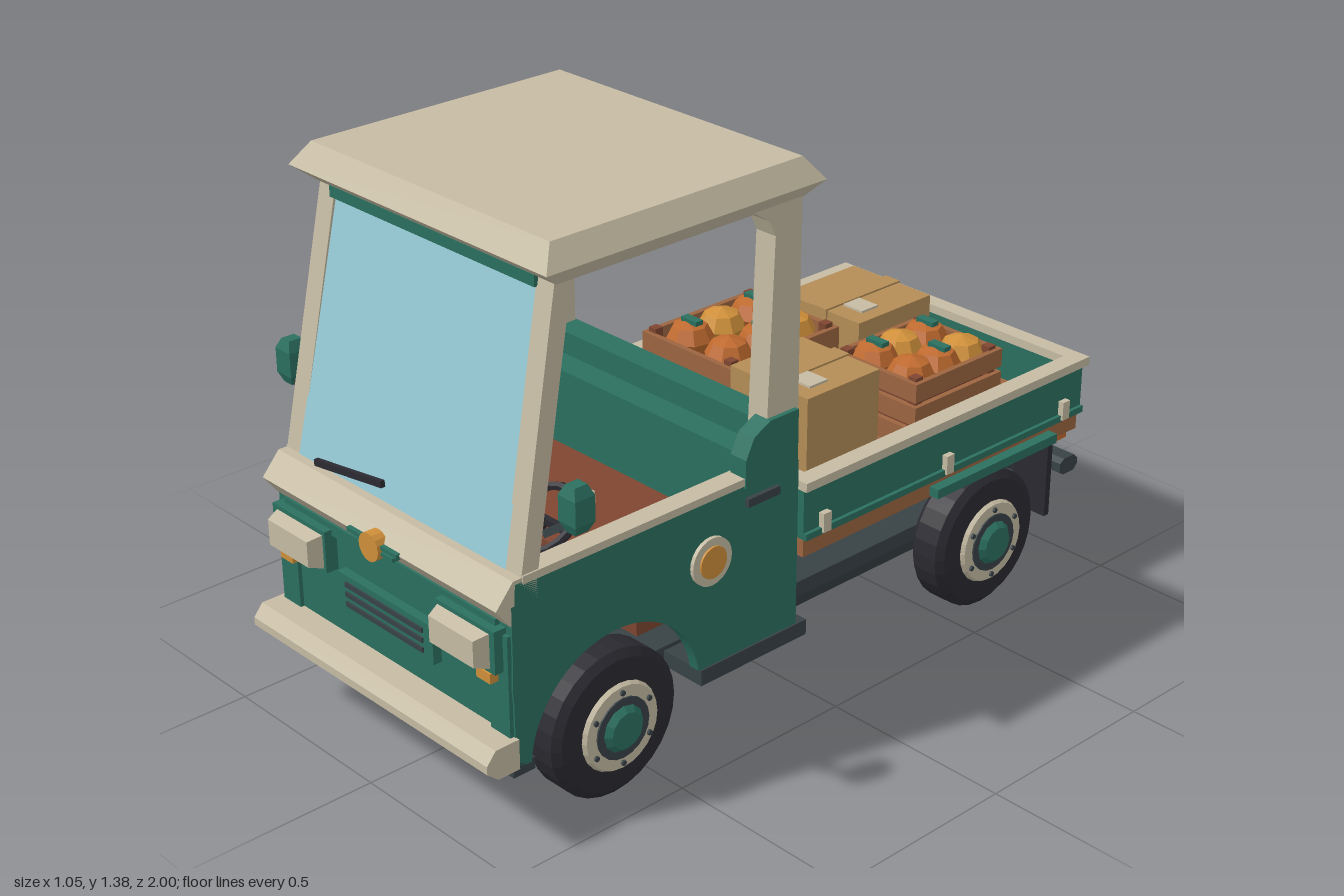
import * as THREE from 'three';

const mat = (name, color) => {
  const m = new THREE.MeshStandardMaterial({ color, flatShading: true });
  m.name = name;
  return m;
};

export function createModel() {
  const green = mat('green paint', 0x2b7060), cream = mat('cream trim', 0xc6bca4);
  const glass = mat('pale blue glass', 0x96cad5), wood = mat('wood', 0x9c6540);
  const card = mat('cardboard', 0xb48d57), amber = mat('amber', 0xd0903a);
  const orange = mat('dark orange', 0xbf6a2e), black = mat('tyre black', 0x2b2a31);
  const grey = mat('charcoal', 0x384246), brown = mat('red brown', 0x7f4632);
  const root = new THREE.Group();
  root.name = 'pickupTruck';

  const add = (name, geo, m, x = 0, y = 0, z = 0, parent = root) => {
    const mesh = new THREE.Mesh(geo, m);
    mesh.name = name;
    mesh.position.set(x, y, z);
    parent.add(mesh);
    return mesh;
  };
  // box given by its limits
  const box = (name, m, x0, x1, y0, y1, z0, z1, parent = root) =>
    add(name, new THREE.BoxGeometry(x1 - x0, y1 - y0, z1 - z0), m, (x0 + x1) / 2, (y0 + y1) / 2, (z0 + z1) / 2, parent);
  // same box on both sides
  const pair = (name, m, x0, x1, ...r) => { box(name, m, x0, x1, ...r); box(name, m, -x1, -x0, ...r); };
  // block whose top has another size than its bottom
  const taper = (w, h, d, tw, td) => {
    const g = new THREE.BoxGeometry(w, h, d), p = g.attributes.position;
    for (let i = 0; i < p.count; i++)
      if (p.getY(i) > 0) { p.setX(i, p.getX(i) * tw / w); p.setZ(i, p.getZ(i) * td / d); }
    return g;
  };
  // (z, y) outline extruded along x
  const sideShape = (name, m, shape, cx, w) => {
    const s = Array.isArray(shape) ? new THREE.Shape(shape.map(p => new THREE.Vector2(...p))) : shape;
    const g = new THREE.ExtrudeGeometry(s, { depth: w, bevelEnabled: false, curveSegments: 20 });
    g.rotateY(-Math.PI / 2).translate(cx + w / 2, 0, 0);
    return add(name, g, m);
  };
  // straight bar between two points
  const bar = (name, m, a, b, w, d) => {
    const A = new THREE.Vector3(...a), B = new THREE.Vector3(...b);
    const mesh = add(name, new THREE.BoxGeometry(w, A.distanceTo(B), d), m);
    mesh.position.copy(A).lerp(B, 0.5);
    mesh.quaternion.setFromUnitVectors(new THREE.Vector3(0, 1, 0), B.sub(A).normalize());
    return mesh;
  };
  const disc = (r, h, n = 20) => new THREE.CylinderGeometry(r, r, h, n);

  // chassis
  add('chassis', taper(0.54, 0.05, 1.7, 0.6, 1.78), grey, 0, 0.165, -0.01);
  box('chassisTop', grey, -0.3, 0.3, 0.19, 0.23, -0.9, 0.87);
  pair('step', grey, 0.29, 0.425, 0.18, 0.22, 0.03, 0.37);
  pair('frontMount', grey, 0.2, 0.42, 0.18, 0.21, 0.86, 0.92);

  // wheels
  const tyre = new THREE.LatheGeometry([[0, -0.055], [0.165, -0.055], [0.184, -0.035], [0.184, 0.035],
    [0.165, 0.05], [0.115, 0.055], [0, 0.05]].map(p => new THREE.Vector2(...p)), 28);
  for (const s of [1, -1]) for (const z of [0.62, -0.63]) {
    const w = new THREE.Group();
    w.name = 'wheel';
    w.position.set(s * 0.37, 0.184, z);
    w.rotation.z = -s * Math.PI / 2;
    add('tyre', tyre, black, 0, 0, 0, w);
    add('whitewall', new THREE.CylinderGeometry(0.105, 0.117, 0.02, 24), cream, 0, 0.055, 0, w);
    add('rim', disc(0.077, 0.01), grey, 0, 0.064, 0, w);
    add('hubCap', new THREE.CylinderGeometry(0.045, 0.064, 0.02, 12), green, 0, 0.073, 0, w);
    for (let i = 0; i < 6; i++)
      add('bolt', disc(0.007, 0.01, 6), grey, 0.091 * Math.cos(i * Math.PI / 3), 0.066, 0.091 * Math.sin(i * Math.PI / 3), w);
    root.add(w);
  }
  for (const z of [0.62, -0.63]) add('axle', disc(0.03, 0.64, 8).rotateZ(Math.PI / 2), grey, 0, 0.184, z);

  // cab shell
  const door = new THREE.Shape();
  door.moveTo(0.06, 0.22); door.lineTo(0.06, 0.65); door.lineTo(0.9, 0.65);
  door.lineTo(0.915, 0.4); door.lineTo(0.9, 0.2); door.lineTo(0.869, 0.2);
  door.absarc(0.62, 0.18, 0.25, 0.08, Math.PI - 0.16, false);
  for (const s of [1, -1]) {
    sideShape('cabSide', green, door, s * 0.405, 0.03);
    sideShape('rearShoulder', green, [[0.235, 0.64], [0.235, 0.71], [0.21, 0.76], [0.16, 0.785], [0.07, 0.785], [0.07, 0.64]], s * 0.402, 0.05);
    add('badgeRing', disc(0.06, 0.012, 24).rotateZ(Math.PI / 2), cream, s * 0.424, 0.495, 0.34);
    add('badgeDisc', disc(0.04, 0.012, 20).rotateZ(Math.PI / 2), amber, s * 0.429, 0.495, 0.34);
    // roof posts
    bar('frontPillar', cream, [s * 0.392, 0.64, 0.862], [s * 0.372, 1.3, 0.73], 0.055, 0.045);
    sideShape('rearPillar', cream, [[0.06, 0.64], [0.165, 0.64], [0.14, 1.22], [0.16, 1.26], [0.22, 1.3], [0.06, 1.3]], s * 0.385, 0.06);
    // mirrors
    bar('mirrorArm', grey, [s * 0.405, 0.73, 0.8], [s * 0.49, 0.79, 0.8], 0.018, 0.018);
    add('mirrorTop', taper(0.055, 0.025, 0.055, 0.03, 0.035), green, s * 0.5, 0.868, 0.795);
    box('mirror', green, s * 0.5 - 0.0275, s * 0.5 + 0.0275, 0.795, 0.856, 0.768, 0.822);
    add('mirrorBottom', taper(0.03, 0.025, 0.035, 0.055, 0.055), green, s * 0.5, 0.783, 0.795);
    box('mirrorFace', cream, s * 0.5 - 0.021, s * 0.5 + 0.021, 0.79, 0.86, 0.762, 0.768);
  }
  box('frontPanel', green, -0.42, 0.42, 0.2, 0.6, 0.87, 0.912);
  box('frontBrow', green, -0.38, 0.38, 0.53, 0.56, 0.91, 0.925);
  pair('frontCornerPanel', green, 0.35, 0.415, 0.26, 0.53, 0.91, 0.922);
  pair('doorSill', cream, 0.37, 0.423, 0.645, 0.664, 0.1, 0.88);
  pair('doorHandle', grey, 0.41, 0.432, 0.592, 0.613, 0.13, 0.23);
  box('rearWall', green, -0.4, 0.4, 0.23, 0.74, 0.065, 0.11);
  box('rearWallLip', green, -0.37, 0.37, 0.72, 0.75, 0.055, 0.125);
  box('seatBack', green, -0.36, 0.36, 0.46, 0.68, 0.11, 0.18);
  box('seat', brown, -0.385, 0.385, 0.36, 0.48, 0.11, 0.53);
  box('dashboard', green, -0.39, 0.39, 0.5, 0.64, 0.76, 0.87);
  // steering
  const wheel = add('steeringWheel', new THREE.TorusGeometry(0.085, 0.011, 6, 18), black, 0.18, 0.61, 0.62);
  wheel.rotation.x = -0.9;
  bar('steeringSpoke', black, [0.1, 0.61, 0.62], [0.26, 0.61, 0.62], 0.016, 0.016);
  bar('steeringColumn', black, [0.18, 0.61, 0.62], [0.18, 0.53, 0.78], 0.025, 0.025);

  // windscreen and roof
  const screen = new THREE.BufferGeometry();
  screen.setAttribute('position', new THREE.Float32BufferAttribute(
    [-0.37, 0.65, 0.885, 0.37, 0.65, 0.885, 0.345, 1.29, 0.748, -0.345, 1.29, 0.748], 3));
  screen.setIndex([0, 1, 2, 0, 2, 3, 2, 1, 0, 3, 2, 0]);
  const pane = add('windscreen', screen.toNonIndexed(), glass);
  pane.geometry.computeVertexNormals();
  box('screenHeader', green, -0.35, 0.35, 1.263, 1.29, 0.735, 0.768);
  bar('wiper', black, [-0.29, 0.672, 0.892], [-0.05, 0.703, 0.884], 0.016, 0.012);
  add('roofUnderside', taper(0.82, 0.04, 0.7, 0.88, 0.8), cream, 0, 1.305, 0.41);
  add('roof', taper(0.88, 0.055, 0.8, 0.81, 0.72), cream, 0, 1.3525, 0.41);

  // nose trim, lamps and grille
  sideShape('noseBelt', cream, [[0.84, 0.555], [0.915, 0.555], [0.953, 0.605], [0.905, 0.66], [0.84, 0.66]], 0, 0.84);
  sideShape('frontBumper', cream, [[0.91, 0.205], [0.97, 0.205], [1, 0.23], [1, 0.25], [0.975, 0.28], [0.91, 0.28]], 0, 0.86);
  add('emblem', disc(0.035, 0.03, 16).rotateX(Math.PI / 2), amber, 0, 0.597, 0.953);
  for (const [w, y] of [[0.09, 0.605], [0.075, 0.59]]) box('emblemWing', green, -w, w, y - 0.005, y + 0.005, 0.935, 0.96);
  pair('headlampBase', green, 0.2, 0.4, 0.44, 0.545, 0.91, 0.945);
  for (const s of [1, -1])
    add('headlamp', taper(0.175, 0.035, 0.085, 0.15, 0.065).rotateX(Math.PI / 2), cream, s * 0.296, 0.492, 0.962);
  pair('indicator', amber, 0.335, 0.382, 0.41, 0.435, 0.92, 0.945);
  box('grille', green, -0.172, 0.172, 0.36, 0.456, 0.91, 0.935);
  for (const y of [0.385, 0.41, 0.435]) box('grilleSlot', grey, -0.14, 0.14, y - 0.006, y + 0.006, 0.932, 0.94);

  // cargo bed
  box('bedBase', wood, -0.41, 0.41, 0.38, 0.425, -0.97, 0.03);
  box('bedFloor', wood, -0.39, 0.39, 0.425, 0.45, -0.96, 0.02);
  for (const x of [-0.25, -0.13, 0, 0.12, 0.24]) box('plankSeam', brown, x - 0.004, x + 0.004, 0.447, 0.453, -0.95, 0.01);
  pair('bedSide', green, 0.385, 0.415, 0.43, 0.562, -0.975, 0.035);
  box('tailgate', green, -0.4, 0.4, 0.43, 0.562, -0.975, -0.945);
  box('bedFront', green, -0.4, 0.4, 0.43, 0.562, 0.005, 0.035);
  pair('sideRail', cream, 0.38, 0.428, 0.56, 0.583, -0.985, 0.04);
  box('tailRail', cream, -0.4, 0.4, 0.56, 0.583, -0.985, -0.94);
  box('frontRail', cream, -0.4, 0.4, 0.56, 0.583, 0, 0.04);
  pair('bedRib', green, 0.41, 0.425, 0.43, 0.447, -0.975, 0.035);
  for (const z of [-0.03, -0.46, -0.9]) pair('latch', cream, 0.41, 0.431, 0.435, 0.485, z - 0.013, z + 0.013);
  pair('rearFender', green, 0.36, 0.438, 0.385, 0.41, -0.86, -0.41);
  pair('mudFlap', black, 0.31, 0.42, 0.17, 0.4, -0.868, -0.85);
  pair('tailLamp', orange, 0.26, 0.37, 0.335, 0.375, -0.985, -0.94);
  sideShape('rearBumper', grey, [[-0.93, 0.26], [-0.945, 0.25], [-0.985, 0.25], [-1, 0.265], [-1, 0.28], [-0.985, 0.295], [-0.945, 0.295], [-0.93, 0.285]], 0, 0.8);
  pair('bumperBracket', grey, 0.2, 0.25, 0.2, 0.28, -0.95, -0.84);

  // cardboard boxes
  const carton = (x0, x1, z0, z1, top, lx, lz) => {
    box('carton', card, x0, x1, 0.45, top, z0, z1);
    const c = (x0 + x1) / 2;
    box('cartonTape', card, c - 0.025, c + 0.025, top - 0.06, top + 0.005, z0 - 0.005, z1 + 0.005);
    box('cartonLabel', cream, lx - 0.033, lx + 0.033, top, top + 0.006, lz - 0.03, lz + 0.03);
  };
  carton(0.045, 0.305, -0.33, -0.085, 0.715, 0.235, -0.16);
  carton(-0.295, -0.02, -0.875, -0.605, 0.645, -0.093, -0.688);

  // slatted crates of pumpkins
  const crate = (x0, x1, z0, z1, top) => {
    const h = top - 0.45, step = h / 3, cx = (x0 + x1) / 2, cz = (z0 + z1) / 2;
    box('crateBottom', wood, x0, x1, 0.45, 0.47, z0, z1);
    for (let i = 0; i < 3; i++) {
      const y0 = 0.455 + i * step, y1 = y0 + step * 0.78;
      for (const z of [z0, z1 - 0.015]) box('crateSlat', wood, x0, x1, y0, y1, z, z + 0.015);
      for (const x of [x0, x1 - 0.015]) box('crateSlat', wood, x, x + 0.015, y0, y1, z0, z1);
    }
    for (const x of [x0 + 0.012, x1 - 0.037]) for (const z of [z0 + 0.012, z1 - 0.037])
      box('cratePost', brown, x, x + 0.025, 0.45, top, z, z + 0.025);
    box('crateLining', brown, x0 + 0.03, x1 - 0.03, 0.47, top - 0.06, z0 + 0.03, z1 - 0.03);
    const dx = (x1 - x0) * 0.22, dz = (z1 - z0) * 0.29;
    for (let r = 0; r < 3; r++) for (let c = 0; c < 2; c++) {
      const x = cx + (c ? dx : -dx), z = cz + (r - 1) * dz, leaf = (r + c) % 2 === 0;
      const p = add('pumpkin', new THREE.SphereGeometry(0.063, 8, 4), leaf || r === 2 ? orange : amber, x, top - 0.025, z);
      p.scale.y = 0.8;
      p.rotation.y = r * 0.5 + c * 0.3;
      if (leaf) box('pumpkinLeaf', green, x - 0.02, x + 0.035, top + 0.018, top + 0.03, z - 0.012, z + 0.012);
    }
  };
  crate(-0.32, 0, -0.51, -0.13, 0.685);
  crate(0.03, 0.31, -0.78, -0.46, 0.64);

  return root;
}
